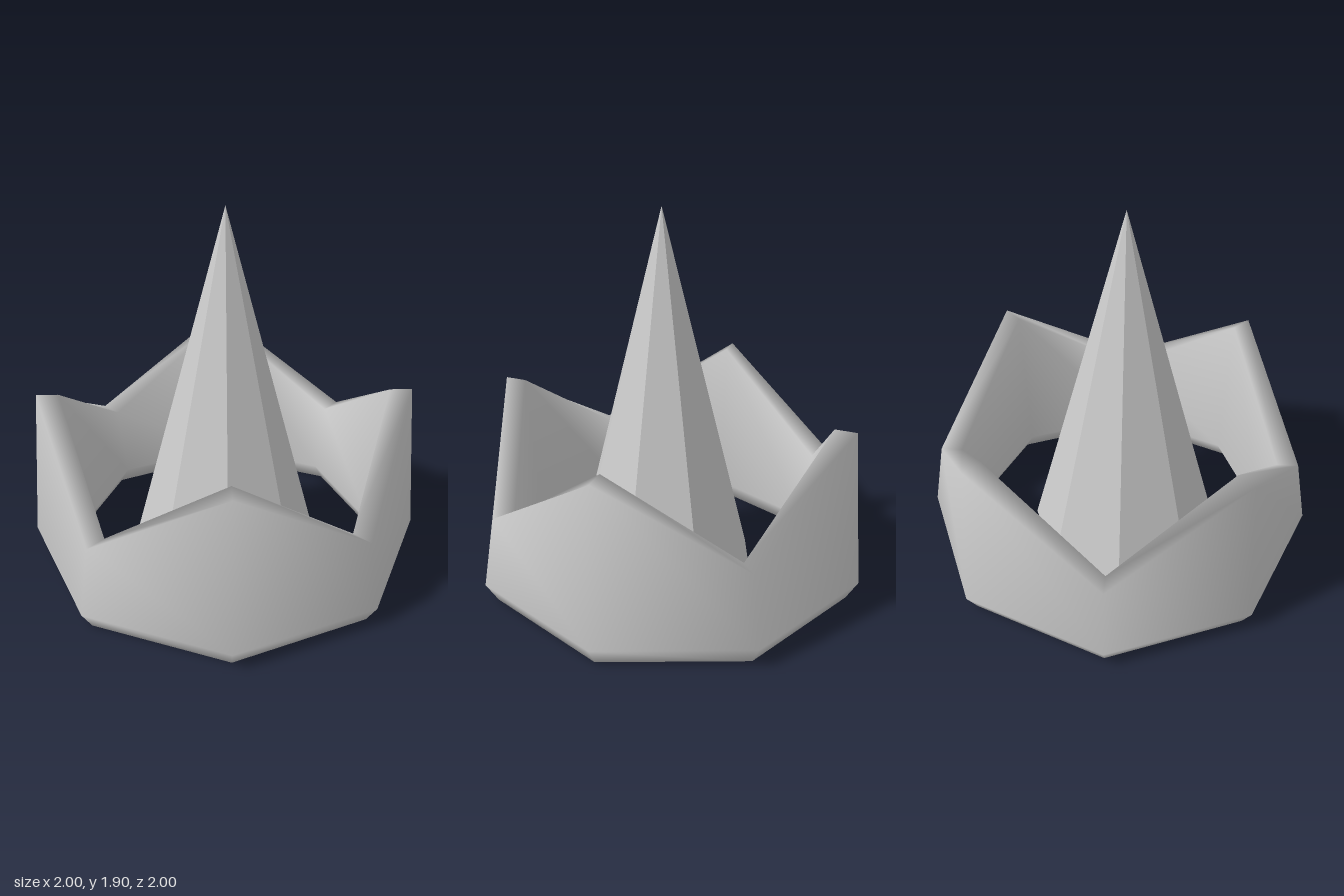
import * as THREE from 'three';
import { mergeVertices } from 'three/addons/utils/BufferGeometryUtils.js';

const PEAK = 0.91, VALLEY = 0.46;

// Eight-sided ring whose top rim dips at every second corner
function crownGeometry() {
  const profile = [
    [0.83, 0], [0.94, 0], [1, 0.1], [0.94, PEAK], [0.83, PEAK], [0.77, 0.1], [0.83, 0],
  ].map(([r, y]) => new THREE.Vector2(r, y));
  const lathe = new THREE.LatheGeometry(profile, 8);
  lathe.deleteAttribute('uv');
  lathe.deleteAttribute('normal');
  const pos = lathe.attributes.position;
  for (let i = 0; i < pos.count; i++) {
    const corner = Math.floor(i / profile.length);
    if (corner % 2 === 1 && pos.getY(i) > 0.5) pos.setY(i, VALLEY);
  }
  // Weld the seams so the shading runs smoothly all round
  const geometry = mergeVertices(lathe, 1e-4);
  geometry.computeVertexNormals();
  return geometry;
}

export function createModel() {
  const group = new THREE.Group();

  const crown = new THREE.Mesh(
    crownGeometry(),
    new THREE.MeshStandardMaterial({ color: 0xcccccc })
  );
  crown.name = 'crownRing';
  group.add(crown);

  // Faceted spike standing slightly forward of the ring's centre
  const spike = new THREE.Mesh(
    new THREE.ConeGeometry(0.49, 1.9, 8),
    new THREE.MeshStandardMaterial({ color: 0xcccccc, flatShading: true })
  );
  spike.name = 'centralSpike';
  spike.position.set(0, 0.95, 0.05);
  group.add(spike);

  return group;
}
